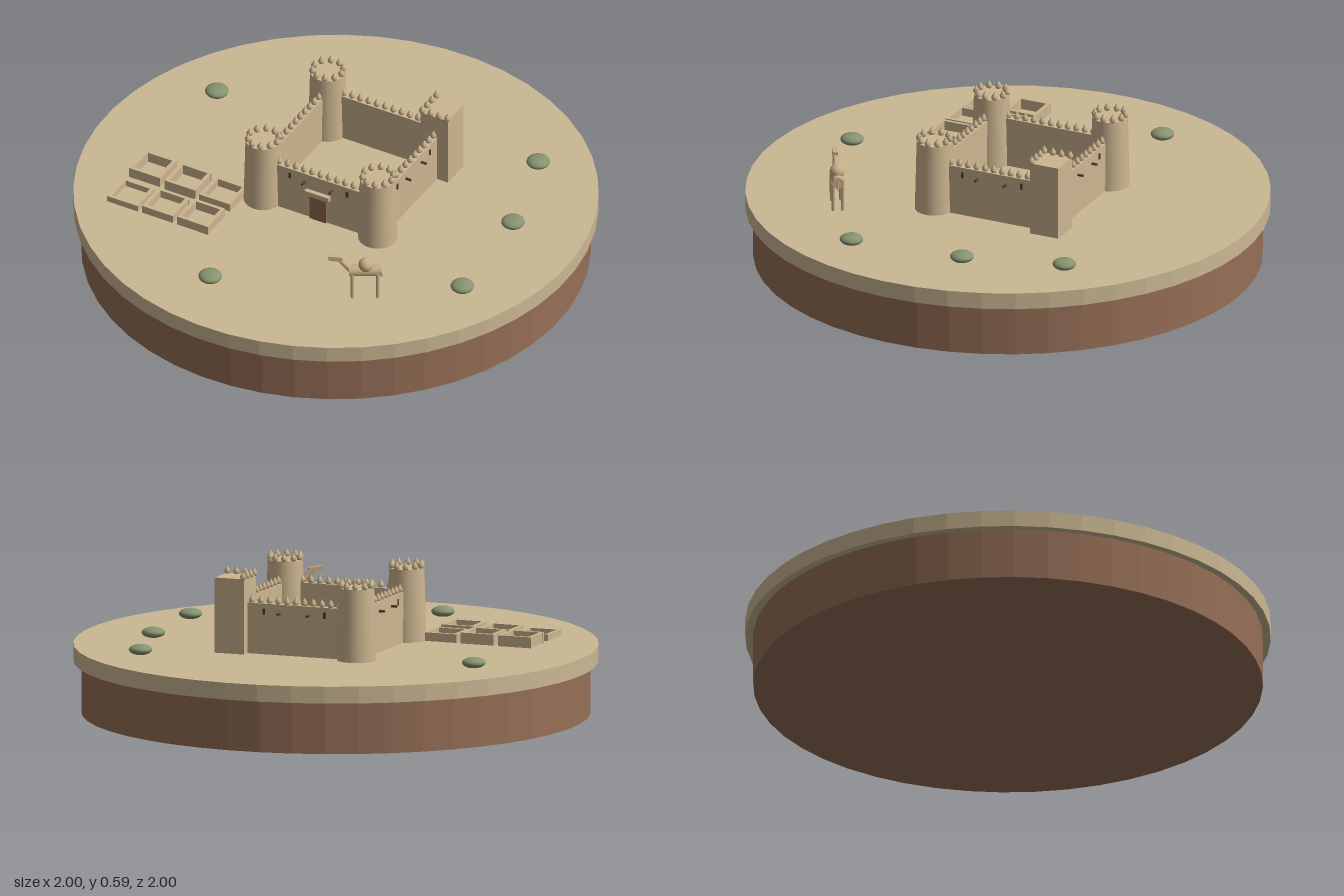
import * as THREE from 'three';

const mat = (name, color, flatShading = false) => {
  const m = new THREE.MeshStandardMaterial({ color, flatShading });
  m.name = name;
  return m;
};

export function createModel() {
  const root = new THREE.Group();
  root.name = 'desertFort';
  const sand = mat('sand', 0xcbb893, true);
  const earth = mat('earth', 0x966f57, true);
  const mud = mat('mudBrick', 0xcdb690);
  const wood = mat('darkWood', 0x54402f);
  const doorWood = mat('doorWood', 0x93694d);
  const green = mat('scrub', 0x879370);
  const hide = mat('camelHide', 0xc8ae88);

  const GROUND = 0.265, YAW = -Math.PI / 9;
  const add = (parent, name, geo, m, x = 0, y = 0, z = 0) => {
    const mesh = new THREE.Mesh(geo, m);
    mesh.name = name;
    mesh.position.set(x, y, z);
    parent.add(mesh);
    return mesh;
  };
  const group = (parent, name, x, y, z, ry) => {
    const g = new THREE.Group();
    g.name = name;
    g.position.set(x, y, z);
    g.rotation.y = ry;
    parent.add(g);
    return g;
  };
  const box = (w, h, d) => new THREE.BoxGeometry(w, h, d);

  // Round base: earth plinth under a wider slab of sand
  add(root, 'earthBase', new THREE.CylinderGeometry(0.97, 0.97, 0.2, 48), earth, 0, 0.1, 0);
  add(root, 'sandSlab', new THREE.CylinderGeometry(1, 1, 0.065, 48), sand, 0, 0.2325, 0);

  // Fort, a 0.5 square turned by 20 degrees
  const fort = group(root, 'fort', 0.055, GROUND, -0.06, YAW);

  // Pointed battlement: short stem swelling under a tip
  const merlonGeo = new THREE.LatheGeometry(
    [[0, 0], [0.009, 0], [0.013, 0.012], [0.007, 0.022], [0, 0.034]].map(p => new THREE.Vector2(...p)), 8);
  const merlon = (parent, x, y, z) => add(parent, 'merlon', merlonGeo, mud, x, y, z);

  // Four walls with battlements, beam ends and slots
  const WALL_H = 0.195;
  ['frontWall', 'leftWall', 'backWall', 'rightWall'].forEach((name, i) => {
    const side = group(fort, name, 0, 0, 0, i * Math.PI / 2);
    add(side, 'wall', box(0.5, WALL_H, 0.03), mud, 0, WALL_H / 2, 0.25);
    for (let k = -5; k <= 5; k++) merlon(side, k * 0.036, WALL_H - 0.002, 0.25);
    for (const s of [-1, 1]) {
      const beam = add(side, 'beamEnd', new THREE.CylinderGeometry(0.005, 0.005, 0.04, 8), wood, s * 0.06, 0.16, 0.268);
      beam.rotation.x = Math.PI / 2;
      add(side, 'slot', box(0.01, 0.024, 0.004), wood, s * 0.125, 0.165, 0.266);
    }
  });

  // Door in the front wall
  add(fort, 'door', box(0.072, 0.11, 0.009), doorWood, 0, 0.055, 0.268);
  add(fort, 'lintel', box(0.105, 0.02, 0.03), mud, 0, 0.12, 0.268);

  // Three round towers with crowns
  const towerGeo = new THREE.CylinderGeometry(0.068, 0.075, 0.28, 24);
  for (const [x, z] of [[-0.25, 0.25], [0.25, 0.25], [-0.25, -0.25]]) {
    const tower = group(fort, 'roundTower', x, 0, z, 0);
    add(tower, 'shaft', towerGeo, mud, 0, 0.14, 0);
    for (let k = 0; k < 10; k++) {
      const a = k * Math.PI / 5;
      merlon(tower, 0.059 * Math.cos(a), 0.278, 0.059 * Math.sin(a));
    }
  }

  // Square tower, battlements along its two inner edges
  const keep = group(fort, 'squareTower', 0.252, 0, -0.243, 0);
  add(keep, 'shaft', box(0.12, 0.29, 0.12), mud, 0, 0.145, 0);
  for (const t of [-0.055, -0.018, 0.018, 0.055]) {
    merlon(keep, -0.055, 0.287, t);
    if (t > -0.05) merlon(keep, t, 0.287, 0.055);
  }

  // Six low walled plots
  const plots = [
    [-0.705, -0.003, 0.042], [-0.56, 0.053, 0.042], [-0.417, 0.107, 0.033],
    [-0.763, 0.164, 0.025], [-0.62, 0.214, 0.032], [-0.476, 0.267, 0.037],
  ];
  for (const [x, z, h] of plots) {
    const plot = group(root, 'walledPlot', x, GROUND, z, YAW);
    for (const s of [-1, 1]) {
      add(plot, 'plotWall', box(0.135, h, 0.014), mud, 0, h / 2, s * 0.06);
      add(plot, 'plotWall', box(0.014, h, 0.106), mud, s * 0.06, h / 2, 0);
    }
  }

  // Scrub bushes
  const bushGeo = new THREE.SphereGeometry(0.045, 20, 12).scale(1, 0.46, 1);
  for (const [x, z] of [[-0.548, -0.535], [0.732, -0.29], [0.7, 0.105], [0.577, 0.54], [-0.38, 0.635]])
    add(root, 'bush', bushGeo, green, x, 0.284, z);

  // Camel looking towards -x
  const camel = group(root, 'camel', 0.215, GROUND, 0.632, Math.PI / 18);
  const limb = (name, a, b, r1, r2) => {
    const p = new THREE.Vector3(...a), q = new THREE.Vector3(...b), d = q.clone().sub(p);
    const m = add(camel, name, new THREE.CylinderGeometry(r2, r1, d.length(), 10), hide);
    m.position.copy(p).add(q).multiplyScalar(0.5);
    m.quaternion.setFromUnitVectors(new THREE.Vector3(0, 1, 0), d.normalize());
  };
  limb('body', [-0.06, 0.115, 0], [0.06, 0.115, 0], 0.023, 0.023);
  add(camel, 'hump', new THREE.SphereGeometry(0.029, 16, 12), hide, 0.005, 0.142, 0);
  for (const x of [-0.047, 0.05])
    for (const z of [-0.018, 0.018]) limb('leg', [x, 0, z], [x, 0.11, z], 0.006, 0.007);
  limb('neck', [-0.052, 0.12, 0], [-0.098, 0.172, 0], 0.013, 0.01);
  const head = add(camel, 'head', box(0.052, 0.02, 0.02), hide, -0.11, 0.175, 0);
  head.rotation.z = -0.12;
  limb('tail', [0.058, 0.125, 0], [0.068, 0.085, 0], 0.004, 0.003);

  return root;
}
